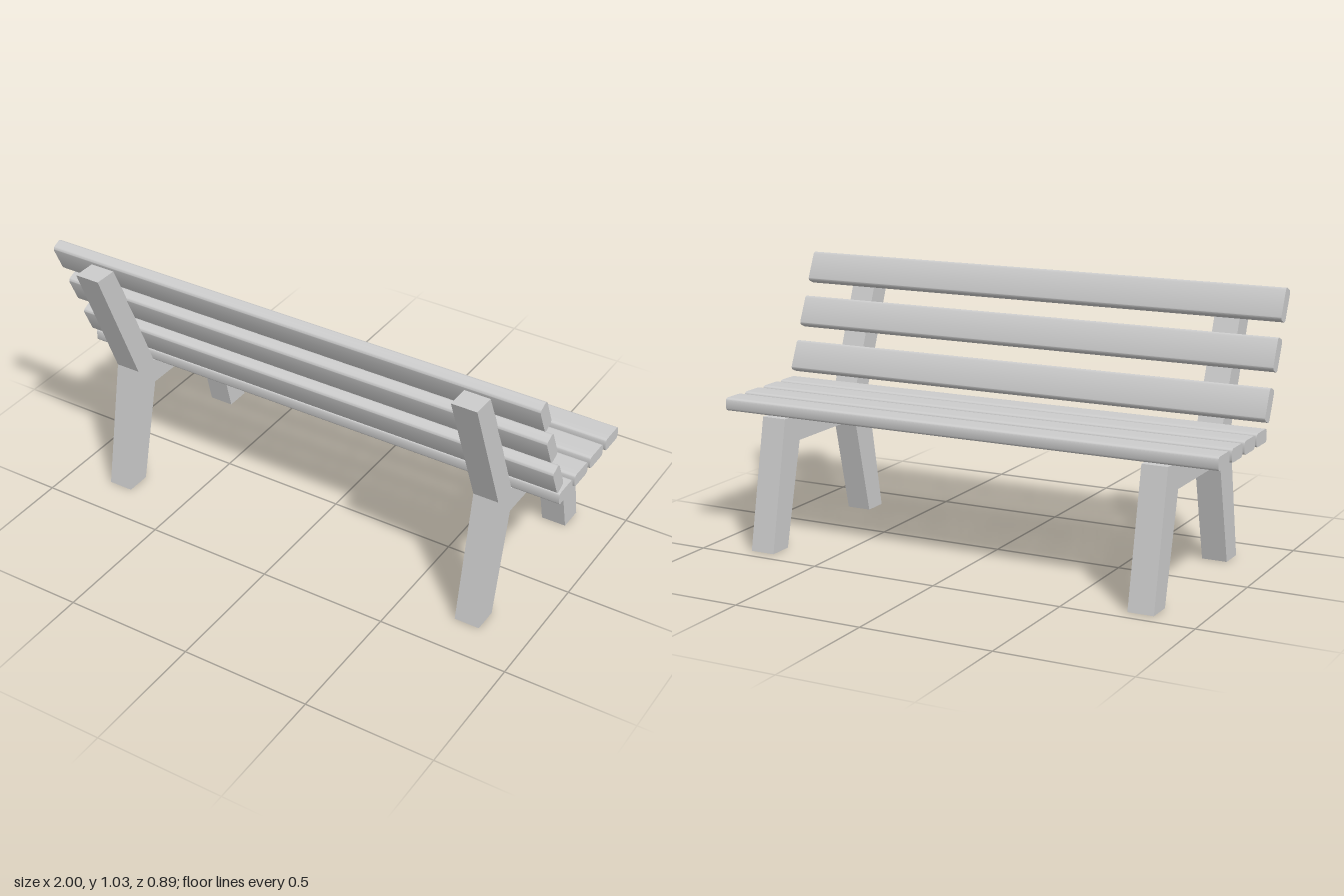
import * as THREE from 'three';
import { toCreasedNormals } from 'three/addons/utils/BufferGeometryUtils.js';

const material = new THREE.MeshStandardMaterial({ color: 0xcccccc });

// Extrudes a (z, y) profile along x, centred on x = 0, leaning it back by tilt.
function extrudeAlongX(shape, length, tilt = 0) {
  const geometry = new THREE.ExtrudeGeometry(shape, { depth: length, bevelEnabled: false, curveSegments: 6 });
  geometry.translate(0, 0, -length / 2);
  geometry.rotateZ(-tilt);
  geometry.rotateY(-Math.PI / 2);
  return toCreasedNormals(geometry, 0.35);
}

// Rectangle with rounded corners, centred on the origin.
function roundedRect(w, h, r) {
  const x = w / 2 - r, y = h / 2 - r;
  const shape = new THREE.Shape();
  shape.absarc(x, y, r, 0, Math.PI / 2);
  shape.absarc(-x, y, r, Math.PI / 2, Math.PI);
  shape.absarc(-x, -y, r, Math.PI, Math.PI * 1.5);
  shape.absarc(x, -y, r, Math.PI * 1.5, Math.PI * 2);
  shape.closePath();
  return shape;
}

function addPart(parent, name, geometry, x, y, z) {
  const mesh = new THREE.Mesh(geometry, material);
  mesh.name = name;
  mesh.position.set(x, y, z);
  parent.add(mesh);
}

export function createModel() {
  const bench = new THREE.Group();
  bench.name = 'bench';

  // Side frames: legs, seat rail and leaning back post in one outline
  const outline = [
    [0.445, 0.995], [0.347, 0.995], [0.152, 0.5], [-0.345, 0.5], [-0.445, 0], [-0.347, 0],
    [-0.249, 0.4], [0.151, 0.4], [0.249, 0], [0.347, 0], [0.249, 0.5],
  ].map(([z, y]) => new THREE.Vector2(z, y));
  const frame = extrudeAlongX(new THREE.Shape(outline), 0.098);
  addPart(bench, 'leftFrame', frame, 0.767, 0, 0);
  addPart(bench, 'rightFrame', frame, -0.779, 0, 0);

  // Seat slats
  const seatSlat = extrudeAlongX(roundedRect(0.104, 0.05, 0.013), 2);
  [0.101, -0.02, -0.145, -0.272].forEach((z, i) => addPart(bench, `seatSlat${i + 1}`, seatSlat, 0, 0.524, z));

  // Backrest slats, leaning with the posts
  const backSlat = extrudeAlongX(roundedRect(0.05, 0.122, 0.013), 2, THREE.MathUtils.degToRad(24));
  [[0.627, 0.175], [0.798, 0.2445], [0.968, 0.314]].forEach(([y, z], i) =>
    addPart(bench, `backSlat${i + 1}`, backSlat, 0, y, z));

  return bench;
}
